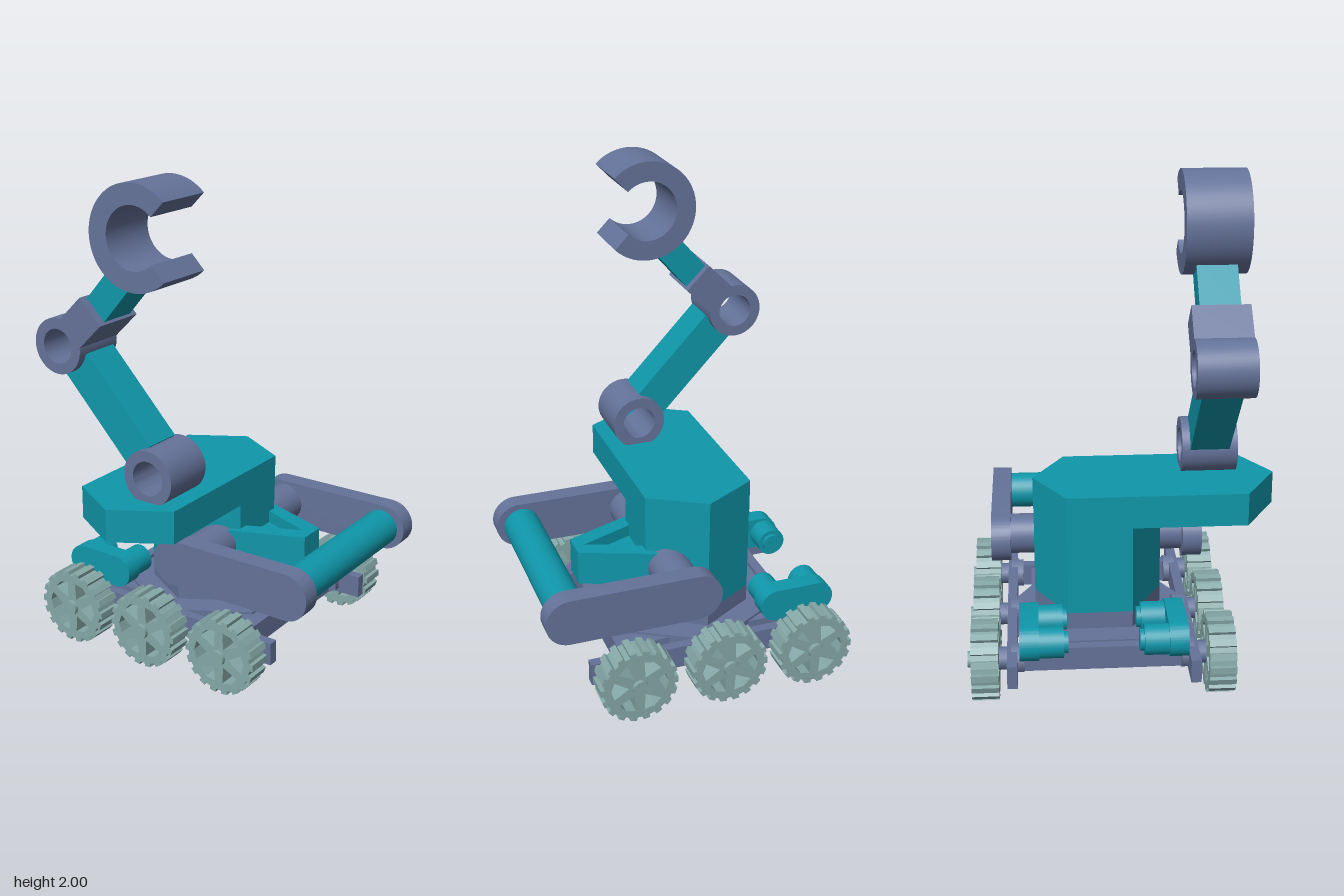
import * as THREE from 'three';
import { toCreasedNormals } from 'three/addons/utils/BufferGeometryUtils.js';

const MID_Z = -0.095; // symmetry plane of the chassis
const teal = new THREE.MeshStandardMaterial({ color: 0x0f97aa });
const blue = new THREE.MeshStandardMaterial({ color: 0x65739a });
const grey = new THREE.MeshStandardMaterial({ color: 0x86a8a8 });

export function createModel() {
  const model = new THREE.Group();
  model.name = 'roverWithArm';

  const add = (name, geo, mat, parent = model) => {
    const mesh = new THREE.Mesh(geo, mat);
    mesh.name = name;
    parent.add(mesh);
    return mesh;
  };
  const poly = (pts) => new THREE.Shape(pts.map(([x, y]) => new THREE.Vector2(x, y)));
  // Extrude a front outline between two depths
  const slab = (shape, z0, z1) => {
    const g = new THREE.ExtrudeGeometry(shape, { depth: z1 - z0, bevelEnabled: false, curveSegments: 24 });
    return toCreasedNormals(g.translate(0, 0, z0), 0.5);
  };
  // Extrude a plan outline (x, z) between two heights
  const plate = (shape, y0, y1) => slab(shape, -y1, -y0).rotateX(Math.PI / 2);
  const box = (x0, x1, y0, y1, z0, z1) =>
    new THREE.BoxGeometry(x1 - x0, y1 - y0, z1 - z0).translate((x0 + x1) / 2, (y0 + y1) / 2, (z0 + z1) / 2);
  // Cylinder lying along z
  const rod = (x, y, z0, z1, r, sides = 32) =>
    new THREE.CylinderGeometry(r, r, Math.abs(z1 - z0), sides).rotateX(Math.PI / 2).translate(x, y, (z0 + z1) / 2);
  const hexPrism = (r, y0, y1) =>
    toCreasedNormals(new THREE.CylinderGeometry(r, r, y1 - y0, 6), 0.5).translate(-0.1, (y0 + y1) / 2, MID_Z);
  const stadium = (x0, x1, y, r) => {
    const s = new THREE.Shape();
    s.absarc(x1 - r, y, r, -Math.PI / 2, Math.PI / 2);
    s.absarc(x0 + r, y, r, Math.PI / 2, Math.PI * 1.5);
    s.closePath();
    return s;
  };
  const ring = (x, y, r, hole) => {
    const s = new THREE.Shape().absarc(x, y, r, 0, Math.PI * 2);
    s.holes.push(new THREE.Path().absarc(x, y, hole, 0, Math.PI * 2, true));
    return s;
  };
  // Straight bar between two points in the front plane
  const bar = (x0, y0, x1, y1, width, z0, z1) => {
    const g = box(0, Math.hypot(x1 - x0, y1 - y0), -width / 2, width / 2, z0, z1);
    return g.rotateZ(Math.atan2(y1 - y0, x1 - x0)).translate(x0, y0, 0);
  };

  // Chassis
  add('hullBase', hexPrism(0.26, 0.07, 0.27), blue);
  add('hullSkirt', hexPrism(0.375, 0.085, 0.2), blue);
  add('deck', box(-0.46, 0.27, 0.11, 0.19, -0.37, 0.18), blue);
  for (const x of [-0.468, 0.28]) add('crossBeam', box(x - 0.022, x + 0.022, 0.11, 0.205, -0.43, 0.24), blue);

  // Wheel outline: toothed rim with six wedge openings
  const TEETH = 18;
  const rim = [];
  for (let i = 0; i < TEETH; i++) {
    const a = ((i + 0.5) / TEETH) * Math.PI * 2 + Math.PI / 2;
    for (const [da, r] of [[-0.1, 0.145], [-0.085, 0.16], [0.085, 0.16], [0.1, 0.145]])
      rim.push([r * Math.cos(a + da), r * Math.sin(a + da)]);
  }
  const wheelShape = poly(rim);
  for (let i = 0; i < 6; i++) {
    const a = (i * Math.PI) / 3;
    const hole = [[0, 0.045], [-0.36, 0.112], [0, 0.118], [0.36, 0.112]]
      .map(([da, r]) => new THREE.Vector2(r * Math.cos(a + da), r * Math.sin(a + da)));
    wheelShape.holes.push(new THREE.Path(hole));
  }
  const wheelGeo = slab(wheelShape, -0.0525, 0.0525);

  // Both flanks: rail, wheels, rear pods and the bumper side arm
  for (const [side, s] of [['left', 1], ['right', -1]]) {
    const at = (d) => MID_Z + s * d;
    const span = (d0, d1) => [Math.min(at(d0), at(d1)), Math.max(at(d0), at(d1))];
    const flank = new THREE.Group();
    flank.name = side === 'left' ? 'frontFlank' : 'backFlank';
    model.add(flank);

    add('sideRail', box(-0.62, 0.435, 0.11, 0.205, ...span(0.335, 0.375)), blue, flank);
    for (const x of [-0.47, -0.1, 0.28]) {
      add('axleBlock', rod(x, 0.16, ...span(0.31, 0.36), 0.065, 6), blue, flank);
      add('axle', rod(x, 0.16, ...span(0.31, 0.42), 0.045, 12), blue, flank);
      add('wheel', wheelGeo, grey, flank).position.set(x, 0.16, at(0.46));
      add('wheelHub', rod(x, 0.16, ...span(0.4, 0.53), 0.032, 12), grey, flank);
    }

    add('podPlate', slab(stadium(-0.63, -0.31, 0.275, 0.07), ...span(0.25, 0.325)), teal, flank);
    for (const x of [-0.565, -0.38]) {
      add('podBarrel', rod(x, 0.275, ...span(0.155, 0.25), 0.06), teal, flank);
      add('podTip', rod(x, 0.275, ...span(0.138, 0.16), 0.042), teal, flank);
    }

    add('bumperArm', slab(stadium(-0.09, 0.628, 0.462, 0.097), ...span(0.357, 0.437)), blue, flank);
    add('bumperPivot', rod(0.042, 0.462, ...span(0.1, 0.36), 0.083), blue, flank);
  }
  add('bumperRoller', rod(0.52, 0.46, -0.455, 0.265, 0.077), teal);

  // Tower, overhanging top and nose with a triangular recess
  add('tower', hexPrism(0.26, 0.27, 0.64), teal);
  const top = [[-0.1, -0.357], [0.127, -0.226], [0.127, 0.493], [-0.1, 0.625], [-0.326, 0.493], [-0.326, -0.226]];
  add('towerTop', plate(poly(top), 0.635, 0.77), teal);
  const nosePts = [[0.06, -0.28], [0.39, -0.155], [0.39, -0.04], [0.06, 0.09]];
  add('noseFloor', plate(poly(nosePts), 0.385, 0.48), teal);
  const nose = poly(nosePts);
  nose.holes.push(new THREE.Path([[0.115, -0.19], [0.115, -0.005], [0.345, -0.098]].map((p) => new THREE.Vector2(...p))));
  add('noseRim', plate(nose, 0.48, 0.53), teal);

  // Jointed arm
  const arm = new THREE.Group();
  arm.name = 'arm';
  model.add(arm);
  const Z0 = 0.25, Z1 = 0.476;
  const shoulder = [-0.01, 0.867], elbow = [-0.44, 1.325], claw = [-0.05, 1.797];
  add('shoulderJoint', slab(ring(...shoulder, 0.113, 0.07), Z0, Z1), blue, arm);
  add('elbowJoint', slab(ring(...elbow, 0.113, 0.07), Z0, Z1), blue, arm);
  add('lowerLink', bar(-0.075, 0.936, -0.375, 1.256, 0.15, 0.282, 0.44), teal, arm);
  add('elbowSocket', bar(-0.378, 1.383, -0.272, 1.487, 0.138, Z0, Z1), blue, arm);
  add('upperLink', bar(-0.29, 1.467, -0.135, 1.645, 0.115, 0.282, 0.44), teal, arm);

  // Open claw
  const gap = 0.8;
  const clawShape = new THREE.Shape();
  clawShape.absarc(...claw, 0.203, gap, Math.PI * 2 - gap, false);
  clawShape.absarc(...claw, 0.122, Math.PI * 2 - gap, gap, true);
  clawShape.closePath();
  add('claw', slab(clawShape, 0.237, 0.488), blue, arm);

  return model;
}
